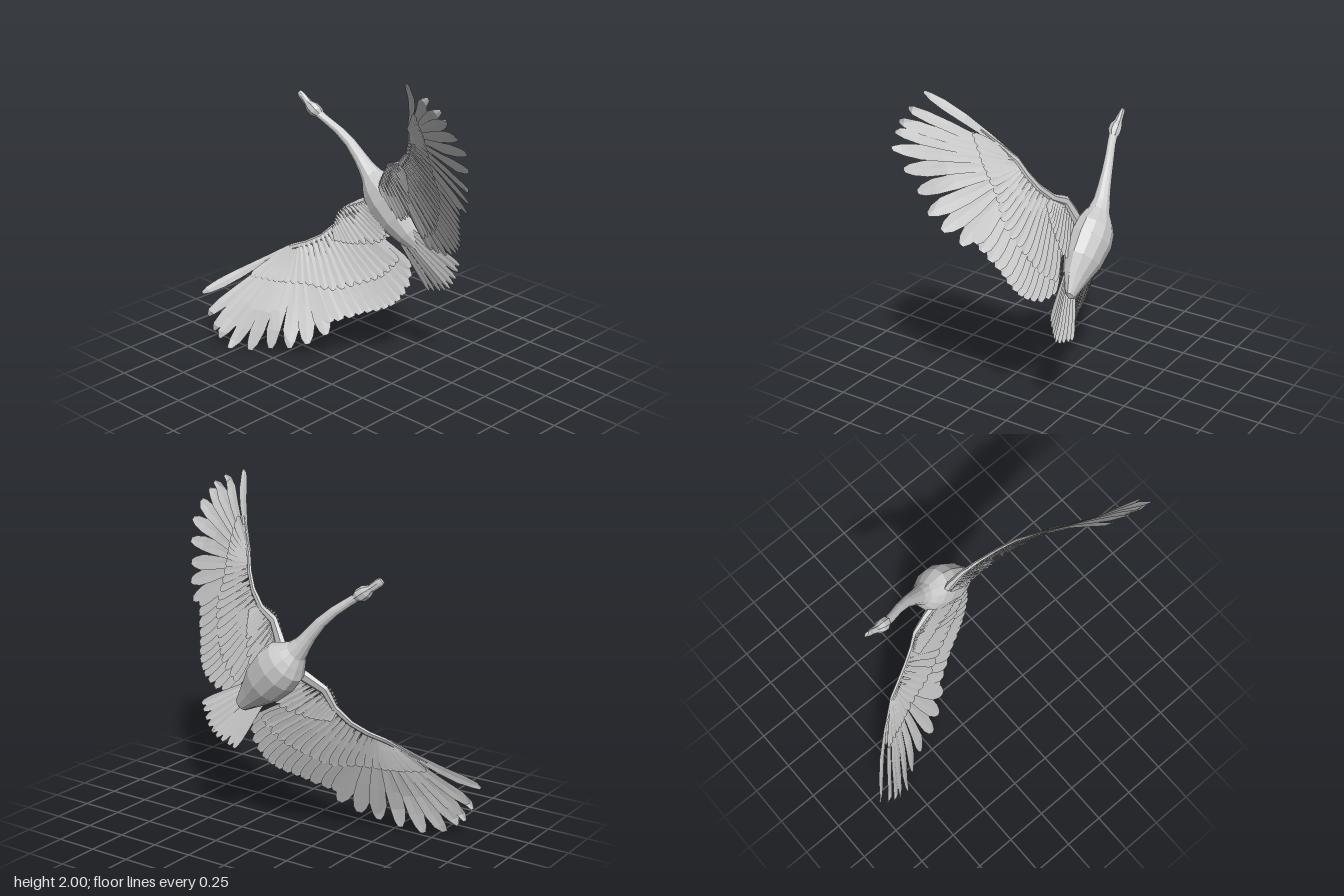
import * as THREE from 'three';
import { mergeGeometries } from 'three/addons/utils/BufferGeometryUtils.js';

// Local frame: +y = head, +x = bird's wing side, -z = belly. Turned 45 degrees at the end.
const bodyMat = new THREE.MeshStandardMaterial({ color: 0xcccccc, flatShading: true });
const featherMat = new THREE.MeshStandardMaterial({ color: 0xcccccc, flatShading: true, side: THREE.DoubleSide });

function gridGeometry(rows, closed) {
  const n = rows[0].length, pos = rows.flat(2), idx = [];
  for (let i = 0; i < rows.length - 1; i++)
    for (let j = 0; j < (closed ? n : n - 1); j++) {
      const a = i * n + j, b = i * n + (j + 1) % n;
      idx.push(a, a + n, b, b, a + n, b + n);
    }
  const g = new THREE.BufferGeometry();
  g.setAttribute('position', new THREE.Float32BufferAttribute(pos, 3));
  g.setIndex(idx);
  g.computeVertexNormals();
  return g;
}

// Elliptical rings along y: [y, x, z, radiusX, radiusZ]
function loft(sections, sides) {
  return gridGeometry(sections.map(([y, x, z, rx, rz]) =>
    Array.from({ length: sides }, (_, j) => {
      const a = j / sides * Math.PI * 2;
      return [x + rx * Math.cos(a), y, z + rz * Math.sin(a)];
    })), true);
}

// Curved wing surface: depth for a point on the spread wing
function wingZ(x, y) {
  const z = -0.15 - 0.034 * x + 0.396 * x * x;
  const droop = 0.16 * Math.max(0, 1 - x / 0.66) + 0.25 * THREE.MathUtils.clamp((x - 0.95) / 0.25, 0, 1);
  return Math.min(0.37, z - droop * (0.15 - y));
}

const ROUND = [[0, 0.35], [0.3, 0.58], [0.6, 0.88], [0.8, 1], [0.93, 0.85], [1, 0.38]];
const BLUNT = [[0, 0.25], [0.3, 0.58], [0.6, 0.93], [0.8, 1], [0.93, 0.72], [1, 0.3]];

// Thin feather with a raised quill, one edge tucked under its neighbour
function feather(base, tip, width, profile, depth, lift) {
  const dir = tip.clone().sub(base), side = new THREE.Vector2(-dir.y, dir.x).normalize();
  return gridGeometry(profile.map(([t, w]) => [-1, 0, 1].map(s => {
    const h = s * w * width / 2;
    const x = base.x + dir.x * t + side.x * h, y = base.y + dir.y * t + side.y * h;
    return [x, y, depth(x, y) + lift * (0.4 + 0.6 * t) + h * 0.16 + (s ? 0 : 0.003)];
  })), false);
}

// Row of feathers between a curve of roots and a curve of tips
function fan(name, count, roots, tips, [w0, w1], profile, lift = 0, depth = wingZ) {
  const curve = pts => new THREE.SplineCurve(pts.map(p => new THREE.Vector2(...p)));
  const r = curve(roots), e = curve(tips), parts = [];
  for (let i = 0; i < count; i++) {
    const u = i / (count - 1);
    parts.push(feather(r.getPoint(u), e.getPoint(u), w0 + (w1 - w0) * u, profile, depth, lift));
  }
  const mesh = new THREE.Mesh(mergeGeometries(parts), featherMat);
  mesh.name = name;
  return mesh;
}

function createWing() {
  const wing = new THREE.Group();

  // Slim arm under the leading edge, rooted inside the body
  const line = [[0.05, 0.06, 0.045], [0.13, 0.09, 0.04], [0.25, 0.125, 0.03], [0.36, 0.09, 0.023],
    [0.48, 0.09, 0.02], [0.58, 0.114, 0.02], [0.665, 0.15, 0.019], [0.78, 0.17, 0.01], [0.9, 0.19, 0.004]];
  const rows = line.map(([x, y, r]) => Array.from({ length: 6 }, (_, j) => {
    const a = -j / 6 * Math.PI * 2;
    return [x, y + r * Math.cos(a), wingZ(x, y) - 0.35 * r + 0.5 * r * Math.sin(a)];
  }));
  const arm = new THREE.Mesh(gridGeometry(rows, true), bodyMat);
  arm.name = 'arm';
  wing.add(arm);

  // Long outer feathers spread like fingers
  wing.add(fan('primaryFeathers', 10, [[0.68, 0.165], [0.67, 0.14], [0.65, 0.11], [0.62, 0.1]],
    [[1.184, 0.222], [1.25, 0.092], [1.276, 0], [1.27, -0.06], [1.254, -0.15],
      [1.186, -0.226], [1.08, -0.29], [0.969, -0.36], [0.87, -0.4], [0.757, -0.417]], [0.062, 0.09], BLUNT));

  // Inner trailing-edge feathers
  wing.add(fan('secondaryFeathers', 13, [[0.61, 0.1], [0.45, 0.06], [0.32, 0.05], [0.2, 0.02]],
    [[0.7, -0.37], [0.6, -0.41], [0.51, -0.438], [0.43, -0.475], [0.354, -0.495],
      [0.276, -0.488], [0.184, -0.453], [0.113, -0.38]], [0.085, 0.07], ROUND, -0.003));

  // Covert rows on both faces of the wing
  const rootRow = [[0.68, 0.165], [0.66, 0.132], [0.61, 0.118], [0.48, 0.095], [0.37, 0.095], [0.27, 0.105]];
  const tipRow = [[0.933, 0.14], [0.863, 0.057], [0.79, -0.014], [0.68, -0.11], [0.58, -0.22],
    [0.424, -0.283], [0.283, -0.325], [0.14, -0.31]];
  const fanRoots = [[0.37, 0.1], [0.33, 0.122], [0.28, 0.147], [0.22, 0.14], [0.15, 0.115], [0.1, 0.095]];
  const fanTips = [[0.39, 0.01], [0.34, -0.04], [0.276, -0.09], [0.16, -0.156], [0.08, -0.14], [0.03, -0.06]];
  for (const [face, s] of [['upper', 1], ['under', -1]]) {
    wing.add(fan(face + 'Coverts', 22, rootRow, tipRow, [0.045, 0.06], ROUND, s * 0.014));
    wing.add(fan(face + 'ShoulderFeathers', 14, fanRoots, fanTips, [0.032, 0.045], ROUND, s * 0.026));
  }
  return wing;
}

export function createModel() {
  const bird = new THREE.Group();

  // Full rounded body tapering to the rump, then a slender neck
  const body = new THREE.Mesh(loft([
    [-0.35, 0, -0.268, 0.004, 0.004], [-0.33, 0, -0.265, 0.042, 0.028], [-0.22, 0, -0.25, 0.09, 0.073],
    [-0.11, 0, -0.25, 0.133, 0.108], [0.02, 0, -0.25, 0.15, 0.121], [0.1, 0, -0.246, 0.137, 0.11],
    [0.15, 0, -0.24, 0.1, 0.09], [0.195, 0.004, -0.234, 0.068, 0.066], [0.25, 0.008, -0.228, 0.052, 0.052],
    [0.32, 0.02, -0.217, 0.042, 0.042], [0.42, 0.032, -0.2, 0.034, 0.033], [0.52, 0.03, -0.175, 0.029, 0.028],
    [0.61, 0.018, -0.145, 0.026, 0.026], [0.665, 0.008, -0.13, 0.026, 0.027]], 12), bodyMat);
  body.name = 'bodyAndNeck';
  bird.add(body);

  // Head and blunt bill
  const head = new THREE.Mesh(loft([
    [0.65, 0.01, -0.133, 0.022, 0.024], [0.685, 0.004, -0.125, 0.043, 0.039], [0.725, -0.002, -0.12, 0.041, 0.037],
    [0.76, -0.008, -0.117, 0.024, 0.024], [0.82, -0.015, -0.113, 0.026, 0.015],
    [0.845, -0.018, -0.111, 0.02, 0.009], [0.848, -0.018, -0.111, 0.001, 0.001]], 8), bodyMat);
  head.name = 'headAndBill';
  bird.add(head);

  // Spread tail
  const tailZ = (x, y) => -0.2 + 0.22 * (y + 0.2) - 0.15 * Math.abs(x);
  bird.add(fan('tailFeathers', 9, [[-0.05, -0.16], [0, -0.18], [0.05, -0.16]],
    [[-0.16, -0.54], [-0.08, -0.585], [0, -0.61], [0.08, -0.585], [0.16, -0.54]], [0.048, 0.048], ROUND, 0, tailZ));

  // Mirrored wings
  const left = createWing(), right = createWing();
  left.name = 'leftWing';
  right.name = 'rightWing';
  right.scale.x = -1;
  bird.add(left, right);

  // Bank the bird and stand it on the ground plane
  bird.name = 'flyingBird';
  bird.rotation.z = Math.PI / 4;
  const model = new THREE.Group();
  model.add(bird);
  model.updateMatrixWorld(true);
  const box = new THREE.Box3().setFromObject(model, true), c = box.getCenter(new THREE.Vector3());
  bird.position.set(-c.x, -box.min.y, -c.z);
  return model;
}
